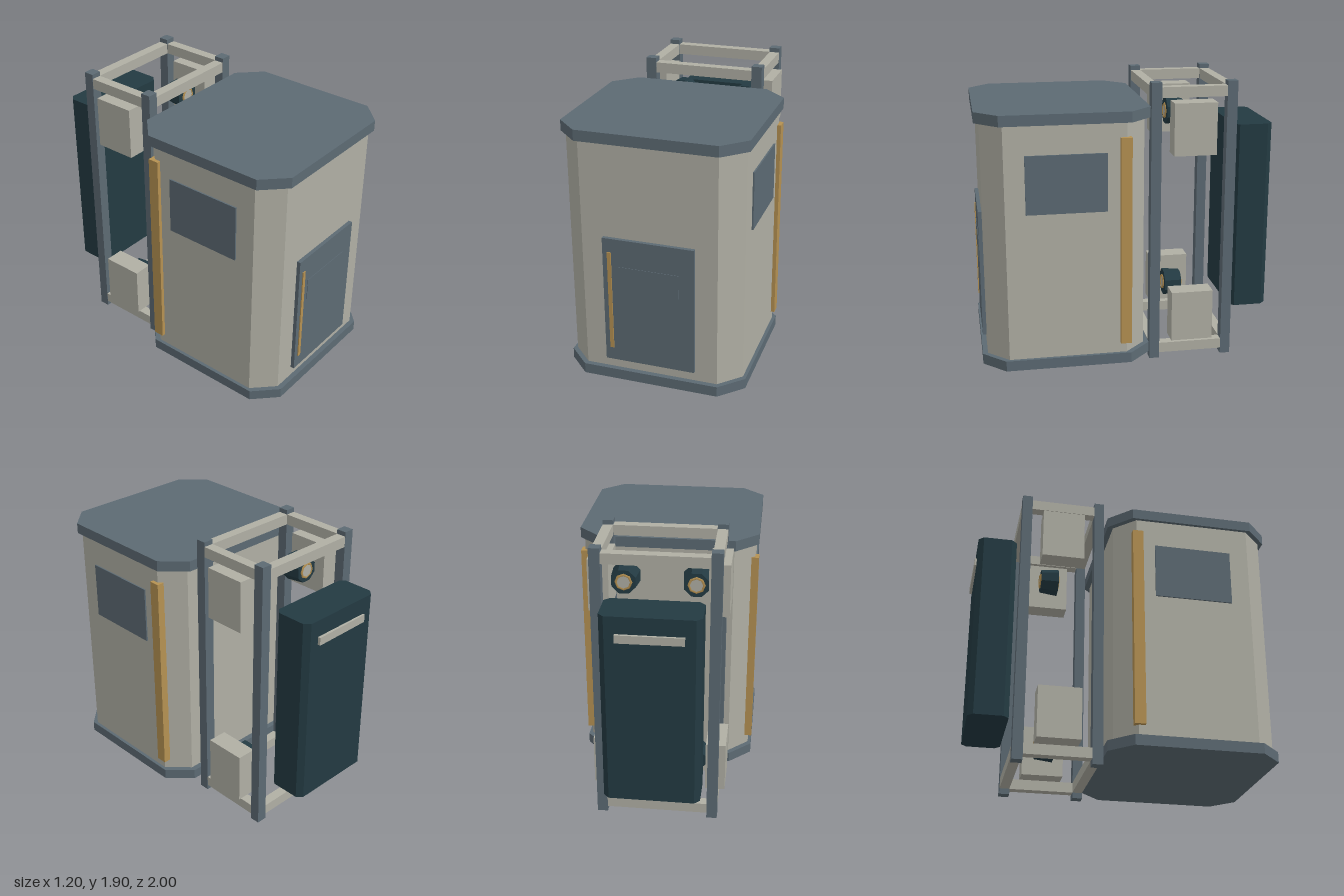
import * as THREE from 'three';

const mat = (name, color) => {
  const m = new THREE.MeshStandardMaterial({ color });
  m.name = name;
  return m;
};

export function createModel() {
  const model = new THREE.Group();
  model.name = 'cabinModule';
  const beige = mat('warm grey', 0xb0afa4);
  const slate = mat('slate', 0x5c6a73);
  const dark = mat('dark teal', 0x233a42);
  const gold = mat('ochre', 0xb59152);

  const add = (name, geo, material, x = 0, y = 0, z = 0, parent = model) => {
    const mesh = new THREE.Mesh(geo, material);
    mesh.name = name;
    mesh.position.set(x, y, z);
    parent.add(mesh);
    return mesh;
  };
  // box given by its minimum and maximum on each axis
  const box = (name, material, x0, x1, y0, y1, z0, z1) =>
    add(name, new THREE.BoxGeometry(x1 - x0, y1 - y0, z1 - z0), material,
      (x0 + x1) / 2, (y0 + y1) / 2, (z0 + z1) / 2);
  // upright prism with cut corners
  const prism = (name, material, hw, cx, cz, y0, y1, z0, z1) => {
    const hd = (z1 - z0) / 2;
    const shape = new THREE.Shape([
      [hw - cx, -hd], [hw, cz - hd], [hw, hd - cz], [hw - cx, hd],
      [cx - hw, hd], [-hw, hd - cz], [-hw, cz - hd], [cx - hw, -hd],
    ].map(([x, y]) => new THREE.Vector2(x, y)));
    const geo = new THREE.ExtrudeGeometry(shape, { depth: y1 - y0, bevelEnabled: false });
    geo.rotateX(-Math.PI / 2);
    return add(name, geo, material, 0, y0, (z0 + z1) / 2);
  };

  // cabin with floor and roof slabs
  prism('cabinBody', beige, 0.575, 0.135, 0.135, 0.09, 1.74, -0.08, 0.965);
  prism('floorSlab', slate, 0.597, 0.147, 0.145, 0.075, 0.145, -0.118, 0.998);
  prism('roofSlab', slate, 0.597, 0.147, 0.145, 1.695, 1.765, -0.118, 0.998);

  // front door with its panel and pull bar
  box('door', slate, -0.297, 0.297, 0.215, 1.077, 0.955, 0.99);
  box('doorPanel', slate, -0.2, 0.2, 0.73, 0.892, 0.988, 0.993);
  box('doorBar', gold, -0.265, -0.24, 0.305, 0.985, 0.985, 0.997);

  for (const s of [-1, 1]) {
    // side windows and corner strips
    const side = (name, material, xa, xb, ...rest) =>
      box(name, material, Math.min(s * xa, s * xb), Math.max(s * xa, s * xb), ...rest);
    side('sideWindow', slate, 0.57, 0.585, 1.125, 1.505, 0.18, 0.7);
    side('sideStrip', gold, 0.55, 0.6, 0.215, 1.6, 0.025, 0.097);

    // frame posts
    for (const z of [-0.168, -0.668]) {
      box('framePost', slate, s * 0.37 - 0.035, s * 0.37 + 0.035, 0, 1.905, z - 0.034, z + 0.034);
    }

    for (const y of [0.312, 1.602]) {
      // equipment boxes outside the frame
      side('equipmentBox', beige, 0.312, 0.445, y - 0.173, y + 0.173, -0.56, -0.277);

      // tapered lamps inside the frame, ringed at both ends
      const lamp = new THREE.Group();
      lamp.name = 'lamp';
      lamp.position.set(s * 0.23, y, -0.423);
      model.add(lamp);
      const drum = new THREE.CylinderGeometry(0.098, 0.084, 0.125, 8);
      drum.rotateY(Math.PI / 8);
      drum.rotateX(Math.PI / 2);
      dark.flatShading = true;
      add('lampDrum', drum, dark, 0, 0, 0, lamp);
      for (const e of [-1, 1]) {
        add('lampRing', new THREE.TorusGeometry(0.048, 0.011, 4, 8), gold, 0, 0, e * 0.061, lamp);
        const lens = new THREE.CylinderGeometry(0.042, 0.042, 0.008, 8);
        lens.rotateX(Math.PI / 2);
        add('lampLens', lens, beige, 0, 0, e * 0.062, lamp);
      }
    }
  }

  // frame rails
  for (const y of [0.073, 1.84]) {
    for (const z of [-0.17, -0.668]) {
      box('crossRail', beige, -0.336, 0.336, y - 0.035, y + 0.035, z - 0.033, z + 0.033);
    }
    for (const x of [-0.37, 0.37]) {
      box('sideRail', beige, x - 0.033, x + 0.033, y - 0.035, y + 0.035, -0.635, -0.2);
    }
  }

  // rear pack with its slightly turned handle
  prism('rearPack', dark, 0.31, 0.035, 0.035, 0.31, 1.595, -0.98, -0.718);
  const handle = box('packHandle', beige, -0.21, 0.21, 1.43, 1.483, -0.996, -0.974);
  handle.rotation.y = 0.012;

  return model;
}
